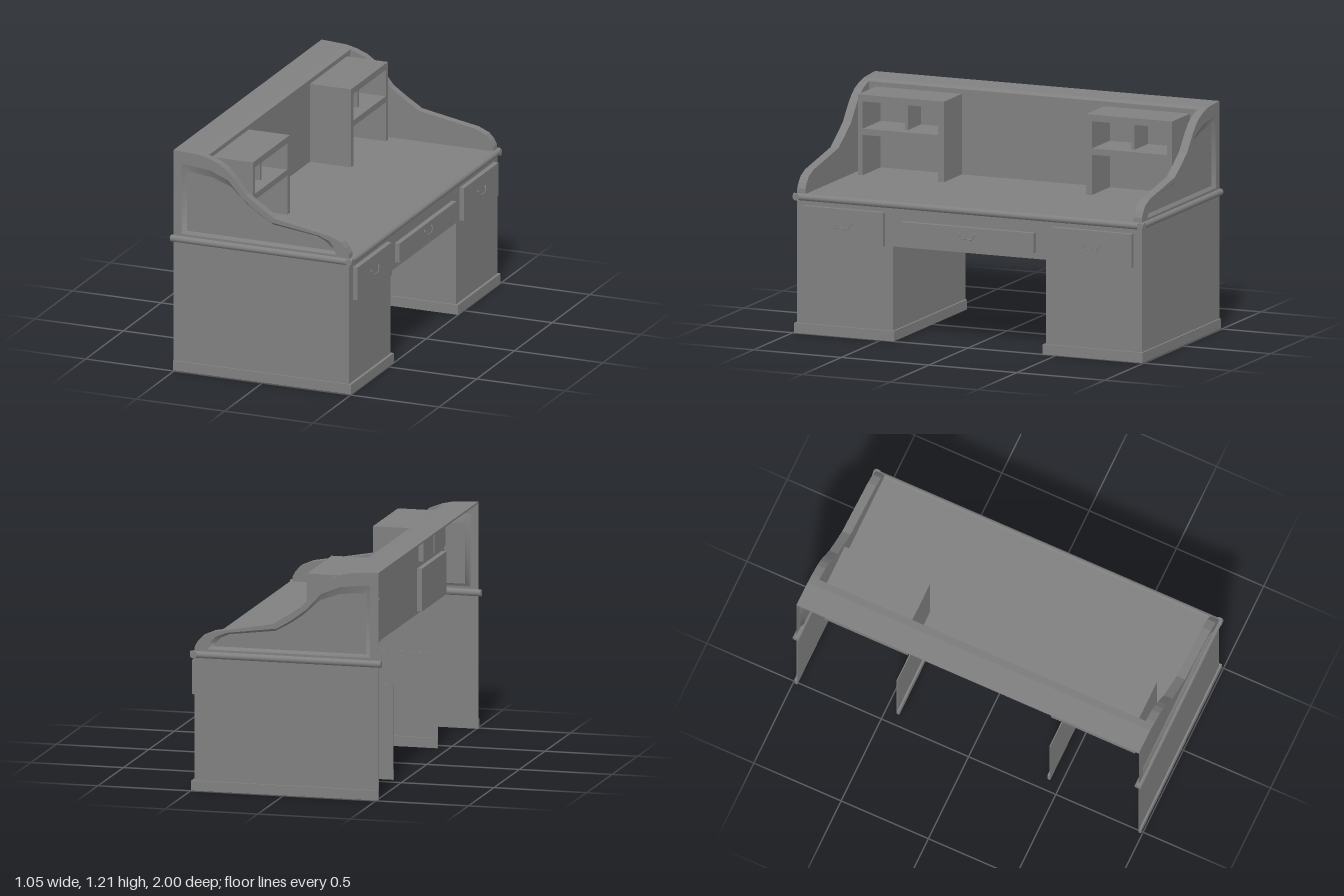
import * as THREE from 'three';

const mat = new THREE.MeshStandardMaterial({ color: 0x808080, side: THREE.DoubleSide, flatShading: true });
const smooth = new THREE.MeshStandardMaterial({ color: 0x808080, side: THREE.DoubleSide });

function add(parent, name, geometry, material = mat) {
  const mesh = new THREE.Mesh(geometry, material);
  mesh.name = name;
  parent.add(mesh);
  return mesh;
}

// Box given by its extents along each axis
function box(parent, name, [x0, x1], [y0, y1], [z0, z1]) {
  const mesh = add(parent, name, new THREE.BoxGeometry(x1 - x0, y1 - y0, z1 - z0));
  mesh.position.set((x0 + x1) / 2, (y0 + y1) / 2, (z0 + z1) / 2);
}

// Extent along z, mirrored for the right half
const span = (s, a, b) => (s > 0 ? [a, b] : [-b, -a]);

const toPoints = (pts) => pts.map(([x, y]) => new THREE.Vector2(x, y));

// Strip joining two outlines that lie at different depths
function strip(a, za, b, zb, closed) {
  const pos = [], index = [], n = a.length;
  a.forEach(([x, y], i) => pos.push(x, y, za, b[i][0], b[i][1], zb));
  for (let i = 0; i < (closed ? n : n - 1); i++) {
    const p = 2 * i, q = 2 * ((i + 1) % n);
    index.push(p, q, p + 1, q, q + 1, p + 1);
  }
  const g = new THREE.BufferGeometry();
  g.setAttribute('position', new THREE.Float32BufferAttribute(pos, 3));
  g.setIndex(index);
  g.computeVertexNormals();
  return g;
}

// Curved top edge of the sides, front to back
const sideCurve = [[0.485, 0.73], [0.482, 0.765], [0.465, 0.795], [0.44, 0.822], [0.38, 0.848],
  [0.22, 0.876], [0.06, 0.905], [-0.02, 0.955], [-0.1, 1.01], [-0.17, 1.095], [-0.21, 1.135], [-0.25, 1.162],
  [-0.31, 1.185], [-0.33, 1.19]];
const backCurve = [[-0.37, 1.199], [-0.51, 1.207]];
// Edge of the sunken field and the field itself
const fieldEdge = [[-0.465, 0.752], [0.41, 0.752], [0.395, 0.795], [0.37, 0.822], [0.31, 0.845], [0.04, 0.882],
  [-0.04, 0.93], [-0.12, 0.99], [-0.2, 1.078], [-0.3, 1.12], [-0.465, 1.138]];
const field = [[-0.44, 0.768], [0.385, 0.768], [0.372, 0.79], [0.35, 0.812], [0.3, 0.836], [0.05, 0.867],
  [-0.03, 0.912], [-0.105, 0.965], [-0.19, 1.042], [-0.3, 1.082], [-0.44, 1.092]];

// Hollow side: panelled outer skin, plain inner skin, curved rim between them
function makeSide(s) {
  const side = new THREE.Group();
  side.name = 'curvedSide';
  const zOut = s * 0.982, zIn = s * 0.935, zField = s * 0.968;
  const outer = new THREE.Shape(toPoints([[-0.51, 0.71], ...sideCurve, ...backCurve]));
  outer.holes.push(new THREE.Path(toPoints(fieldEdge)));
  add(side, 'outerSkin', new THREE.ShapeGeometry(outer)).position.z = zOut;
  add(side, 'fieldBevel', strip(fieldEdge, zOut, field, zField, true), smooth);
  add(side, 'sunkenField', new THREE.ShapeGeometry(new THREE.Shape(toPoints(field)))).position.z = zField;
  const inner = new THREE.Shape(toPoints([[-0.33, 0.73], ...sideCurve]));
  add(side, 'innerSkin', new THREE.ShapeGeometry(inner)).position.z = zIn;
  add(side, 'rim', strip(sideCurve, zOut, sideCurve, zIn, false));
  return side;
}

// Hollow pedestal, open at back and bottom
function makePedestal(s) {
  const g = new THREE.Group();
  g.name = 'pedestal';
  box(g, 'outerPanel', [-0.51, 0.484], [0, 0.72], span(s, 0.977, 0.982));
  box(g, 'innerPanel', [-0.44, 0.484], [0, 0.505], span(s, 0.435, 0.44));
  box(g, 'frontPanel', [0.479, 0.484], [0, 0.505], span(s, 0.435, 0.982));
  box(g, 'baseOuter', [-0.51, 0.499], [0, 0.053], span(s, 0.98, 0.992));
  box(g, 'baseInner', [-0.44, 0.499], [0, 0.053], span(s, 0.424, 0.437));
  box(g, 'baseFront', [0.482, 0.499], [0, 0.053], span(s, 0.424, 0.992));
  return g;
}

// Bail pull with two rosettes
function makeHandle(y, z) {
  const g = new THREE.Group();
  g.name = 'drawerHandle';
  const pts = [[0, 0.013, -0.052], [0.006, 0.01, -0.043], [0.007, -0.013, -0.034], [0.007, -0.016, 0],
    [0.007, -0.013, 0.034], [0.006, 0.01, 0.043], [0, 0.013, 0.052]];
  const path = new THREE.CatmullRomCurve3(pts.map((p) => new THREE.Vector3(...p)), false, 'centripetal');
  add(g, 'bail', new THREE.TubeGeometry(path, 28, 0.003, 6), smooth);
  for (const side of [-1, 1]) {
    const r = add(g, 'rosette', new THREE.CylinderGeometry(0.007, 0.007, 0.006, 10));
    r.rotation.z = Math.PI / 2;
    r.position.set(0.002, 0.011, side * 0.047);
  }
  g.position.set(0.511, y, z);
  return g;
}

function makeDrawer(y, z) {
  const g = new THREE.Group();
  g.name = 'drawer';
  box(g, 'drawerFront', [0.48, 0.511], y, z);
  g.add(makeHandle(0.595, (z[0] + z[1]) / 2));
  return g;
}

// Pigeonhole unit: two small cells above one open bay
function makeCubby(s) {
  const g = new THREE.Group();
  g.name = 'pigeonholes';
  const x = [-0.33, -0.098];
  box(g, 'cubbyTop', x, [1.13, 1.165], span(s, 0.405, 0.895));
  box(g, 'cubbyShelf', x, [0.952, 0.985], span(s, 0.405, 0.895));
  box(g, 'cubbyInnerSide', x, [0.735, 1.15], span(s, 0.405, 0.438));
  box(g, 'cubbyOuterSide', x, [0.735, 1.15], span(s, 0.867, 0.895));
  box(g, 'cubbyDivider', [-0.33, -0.16], [0.985, 1.13], span(s, 0.637, 0.655));
  // Cell backs standing proud behind the wall
  box(g, 'cellBack', [-0.362, -0.328], [0.985, 1.13], span(s, 0.438, 0.637));
  box(g, 'cellBack', [-0.362, -0.328], [0.985, 1.13], span(s, 0.655, 0.867));
  box(g, 'bayBack', [-0.362, -0.328], [0.725, 0.952], span(s, 0.41, 0.89));
  return g;
}

// Round moulding along z
function makeMoulding(name, length) {
  const g = new THREE.CylinderGeometry(0.0185, 0.0185, length, 18);
  const m = new THREE.Mesh(g.rotateX(Math.PI / 2), smooth);
  m.name = name;
  return m;
}

export function createModel() {
  const desk = new THREE.Group();
  desk.name = 'desk';

  // Worktop, front apron and kneehole drawer housing
  box(desk, 'worktop', [-0.335, 0.485], [0.71, 0.738], [-0.98, 0.98]);
  box(desk, 'apron', [0.478, 0.484], [0.5, 0.72], [-0.982, 0.982]);
  box(desk, 'drawerHousing', [0.03, 0.48], [0.501, 0.71], [-0.437, 0.437]);

  // Mirrored halves
  for (const s of [-1, 1]) {
    desk.add(makePedestal(s), makeCubby(s), makeSide(s));
    const rail = makeMoulding('sideMoulding', 1.028);
    rail.rotation.y = Math.PI / 2;
    rail.position.set(-0.01, 0.722, s * 0.98);
    desk.add(rail, makeDrawer([0.5, 0.68], span(s, 0.48, 0.935)));
  }
  desk.add(makeDrawer([0.535, 0.64], [-0.378, 0.378]));
  const front = makeMoulding('frontMoulding', 1.997);
  front.position.set(0.486, 0.722, 0);
  desk.add(front);

  // Upper wall and top board
  box(desk, 'hutchWall', [-0.335, -0.33], [0.72, 1.188], [-0.936, 0.936]);
  const top = new THREE.Shape(toPoints([[-0.51, 1.197], [-0.37, 1.189], [-0.328, 1.18], [-0.328, 1.19], ...backCurve]));
  const topBoard = new THREE.ExtrudeGeometry(top, { depth: 1.962, bevelEnabled: false });
  add(desk, 'hutchTop', topBoard).position.z = -0.981;

  return desk;
}
